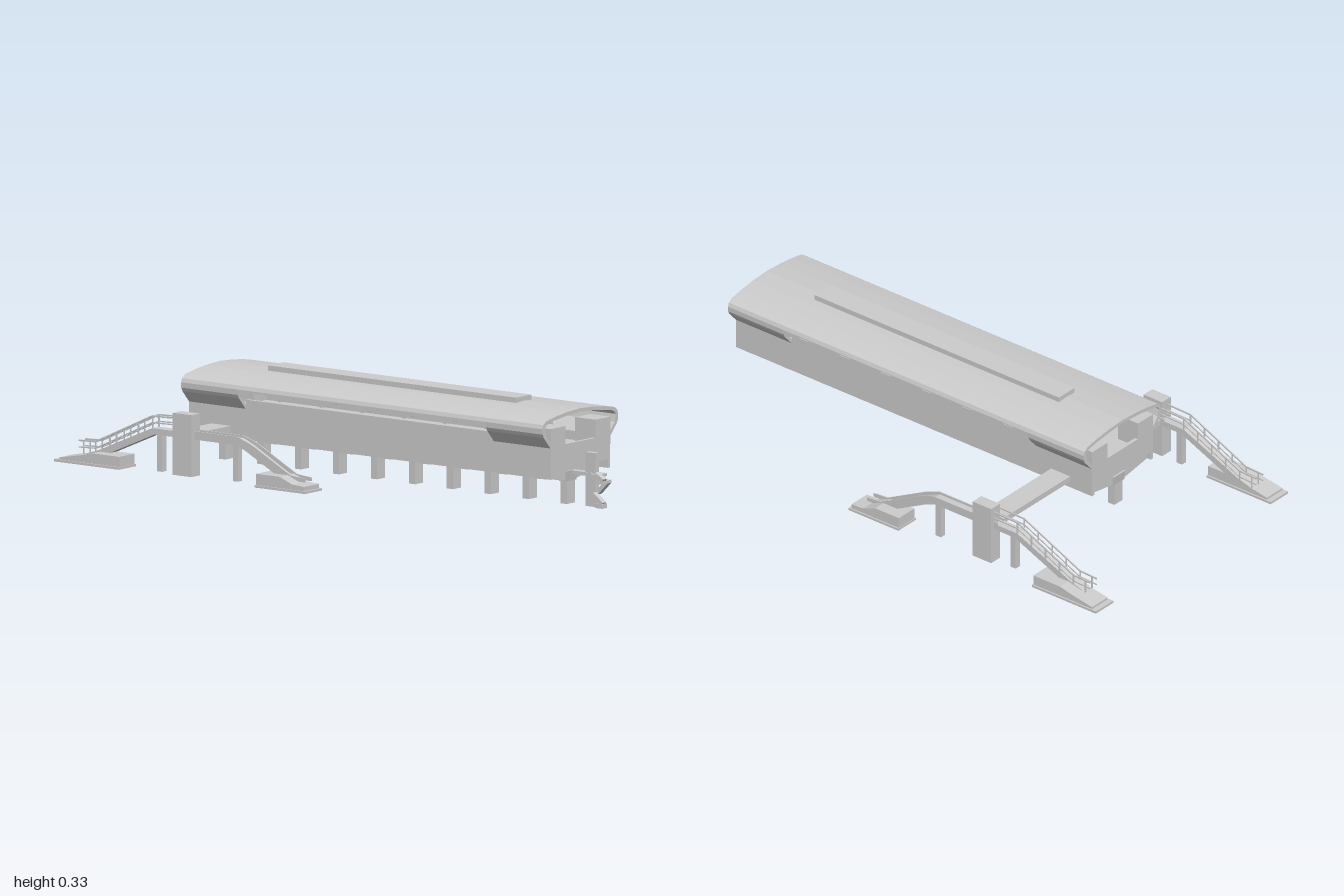
import * as THREE from 'three';

const mat = new THREE.MeshStandardMaterial({ color: 0xcccccc, flatShading: true, side: THREE.DoubleSide });

function add(parent, name, geo) {
  const m = new THREE.Mesh(geo, mat);
  m.name = name;
  parent.add(m);
  return m;
}

// Box whose y is its underside
function box(parent, name, w, h, d, x, y, z) {
  const m = add(parent, name, new THREE.BoxGeometry(w, h, d));
  m.position.set(x, y + h / 2, z);
  return m;
}

const shapeOf = pts => new THREE.Shape(pts.map(p => new THREE.Vector2(p[0], p[1])));

// Section given as (z, y), swept along x and centred on x
function sweepX(parent, name, pts, length, x) {
  const geo = new THREE.ExtrudeGeometry(shapeOf(pts.map(p => [-p[0], p[1]])), { depth: length, bevelEnabled: false });
  geo.rotateY(Math.PI / 2);
  geo.translate(x - length / 2, 0, 0);
  return add(parent, name, geo);
}

// Side outline given as (x, y), with a thickness centred on z
function sweepZ(parent, name, pts, depth, z) {
  const geo = new THREE.ExtrudeGeometry(shapeOf(pts), { depth, bevelEnabled: false });
  geo.translate(0, 0, z - depth / 2);
  return add(parent, name, geo);
}

// Thin straight bar between two points
function bar(parent, name, a, b, h, d) {
  const p = new THREE.Vector3(...a), q = new THREE.Vector3(...b);
  const m = add(parent, name, new THREE.BoxGeometry(p.distanceTo(q), h, d));
  m.position.copy(p).add(q).multiplyScalar(0.5);
  m.quaternion.setFromUnitVectors(new THREE.Vector3(1, 0, 0), q.sub(p).normalize());
  return m;
}

function buildHall() {
  const hall = new THREE.Group();
  hall.name = 'hall';
  const L = 1.5;

  // Deck, side walls and low end walls
  box(hall, 'deck', L, 0.05, 0.31, 0, 0.13, 0);
  for (const s of [-1, 1]) {
    box(hall, 'sideWall', L, 0.108, 0.012, 0, 0.102, s * 0.151);
    box(hall, 'openingSill', 1.03, 0.026, 0.012, 0, 0.21, s * 0.151);
    box(hall, 'endWall', 0.012, 0.03, 0.16, s * 0.744, 0.18, 0);
    for (const e of [-1, 1]) box(hall, 'endKiosk', 0.085, 0.09, 0.078, e * 0.7085, 0.18, s * 0.118);
  }

  // Tapered ribs with piers
  for (let i = 0; i < 10; i++) {
    const x = -0.72 + i * 0.1575;
    sweepX(hall, 'rib', [[-0.155, 0.13], [-0.155, 0.1], [-0.03, 0.08], [0.03, 0.08], [0.155, 0.1], [0.155, 0.13]], 0.024, x);
    sweepZ(hall, 'pierCap', [[x - 0.013, 0.075], [x + 0.013, 0.075], [x + 0.018, 0.11], [x - 0.018, 0.11]], 0.06, 0);
    box(hall, 'pier', 0.026, 0.08, 0.042, x, 0, 0);
  }

  // Curved roof shell
  const outer = [[0.2, 0.275], [0.195, 0.288], [0.18, 0.299], [0.13, 0.308], [0.07, 0.315], [0, 0.319]];
  const inner = [[0, 0.307], [0.07, 0.303], [0.13, 0.296], [0.17, 0.289], [0.183, 0.282], [0.187, 0.275]];
  const flip = pts => pts.map(p => [-p[0], p[1]]).reverse();
  sweepX(hall, 'roof', [...outer, ...flip(outer).slice(1), ...flip(inner), ...inner.slice(1)], L, 0);
  box(hall, 'roofRidge', 1.03, 0.025, 0.08, 0, 0.309, 0);

  // Deep skirts at the ends, pointed fringe between them
  const skirt = [[0.2, 0.275], [0.199, 0.257], [0.193, 0.245], [0.158, 0.206], [0.148, 0.21], [0.181, 0.25], [0.187, 0.275]];
  const fringe = [[-0.515, 0.276]];
  const teeth = 6, step = 1.03 / teeth;
  for (let i = 0; i <= teeth; i++) {
    const x = -0.515 + i * step;
    fringe.push([x, 0.25]);
    if (i < teeth) fringe.push([x + step * 0.4, 0.27], [x + step * 0.6, 0.27]);
  }
  fringe.push([0.515, 0.276]);
  for (const s of [-1, 1]) {
    for (const e of [-1, 1]) sweepX(hall, 'roofSkirt', skirt.map(p => [s * p[0], p[1]]), 0.235, e * 0.6325);
    sweepZ(hall, 'roofFringe', fringe, 0.011, s * 0.193);
  }
  return hall;
}

// Stairs, landing and lift on one side; side gives the outward z direction
function buildStairs(side) {
  const g = new THREE.Group();
  g.name = 'stairAccess';
  const out = z => side * z;
  const W = 0.038;

  // Walkway: long flight, landing and short flight
  sweepZ(g, 'walkway', [[-1.03, 0.03], [-0.98, 0.045], [-0.755, 0.142], [-0.4, 0.142], [-0.36, 0.125],
    [-0.2, 0.04], [-0.2, 0.02], [-0.37, 0.108], [-0.41, 0.122], [-0.745, 0.122], [-0.98, 0.02]], W, 0);
  for (const s of [-1, 1]) {
    const z = s * (W / 2 - 0.002);
    sweepZ(g, 'parapet', [[-0.67, 0.13], [-0.67, 0.15], [-0.4, 0.15], [-0.34, 0.128], [-0.18, 0.045],
      [-0.12, 0.04], [-0.12, 0.028], [-0.19, 0.028], [-0.36, 0.11], [-0.41, 0.13]], 0.004, z);
    // Open handrails on the long flight
    const path = [[-1.06, 0.07], [-0.99, 0.073], [-0.755, 0.182], [-0.65, 0.185]];
    for (let i = 0; i < 3; i++) {
      bar(g, 'handrail', [...path[i], z], [...path[i + 1], z], 0.005, 0.004);
      bar(g, 'lowerRail', [path[i][0], path[i][1] - 0.022, z], [path[i + 1][0], path[i + 1][1] - 0.022, z], 0.004, 0.003);
    }
    for (let i = 0; i < 5; i++) {
      const x = -0.99 + i * 0.059;
      box(g, 'railPost', 0.004, 0.04, 0.004, x, 0.033 + i * 0.0273, z);
    }
    box(g, 'railPost', 0.004, 0.045, 0.004, -1.04, 0.027, z);
  }
  for (const x of [-0.73, -0.415]) box(g, 'walkwayPost', 0.022, 0.125, 0.022, x, 0, 0);
  box(g, 'liftTower', 0.078, 0.205, 0.045, -0.618, 0, out(0.012));

  // Entrance bases on thin ground plates
  const z = out(0.022);
  box(g, 'groundPlate', 0.27, 0.008, 0.09, -0.99, 0, z);
  sweepZ(g, 'entranceBase', [[-1.105, 0.004], [-0.857, 0.004], [-0.857, 0.042], [-0.97, 0.042], [-1.02, 0.03], [-1.105, 0.015]], 0.08, z);
  box(g, 'groundPlate', 0.21, 0.008, 0.09, -0.187, 0, z);
  sweepZ(g, 'entranceBase', [[-0.29, 0.004], [-0.09, 0.004], [-0.09, 0.022], [-0.14, 0.025], [-0.19, 0.045], [-0.29, 0.045]], 0.08, z);
  return g;
}

// Lift shaft with a small folded stair at the far end
function buildEndStair() {
  const g = new THREE.Group();
  g.name = 'endStair';
  box(g, 'endLift', 0.04, 0.178, 0.02, 0.8, 0, 0);
  box(g, 'endLanding', 0.1, 0.012, 0.026, 0.775, 0.1, 0);
  box(g, 'upperLanding', 0.03, 0.01, 0.05, 0.825, 0.1, 0);
  bar(g, 'upperFlight', [0.825, 0.11, 0.012], [0.858, 0.09, 0.012], 0.016, 0.02);
  box(g, 'turnLanding', 0.02, 0.01, 0.05, 0.85, 0.08, 0);
  bar(g, 'middleFlight', [0.855, 0.085, -0.014], [0.815, 0.045, -0.014], 0.014, 0.02);
  bar(g, 'lowerFlight', [0.815, 0.042, 0.012], [0.855, 0.012, 0.012], 0.018, 0.02);
  box(g, 'stairFoot', 0.03, 0.015, 0.025, 0.845, 0, 0.012);
  return g;
}

export function createModel() {
  const model = new THREE.Group();
  model.name = 'elevatedStation';
  const station = new THREE.Group();
  station.name = 'station';
  station.position.set(0.14, 0, 0.075);
  station.rotation.y = 0.0333;
  model.add(station);

  station.add(buildHall(), buildEndStair());

  // Cross bridge joining both stairs to the hall
  box(station, 'crossBridge', 0.08, 0.02, 0.87, -0.618, 0.123, -0.1);
  for (const s of [-1, 1]) {
    const stairs = buildStairs(s);
    stairs.position.z = -0.1 + s * 0.428;
    station.add(stairs);
  }
  return model;
}
